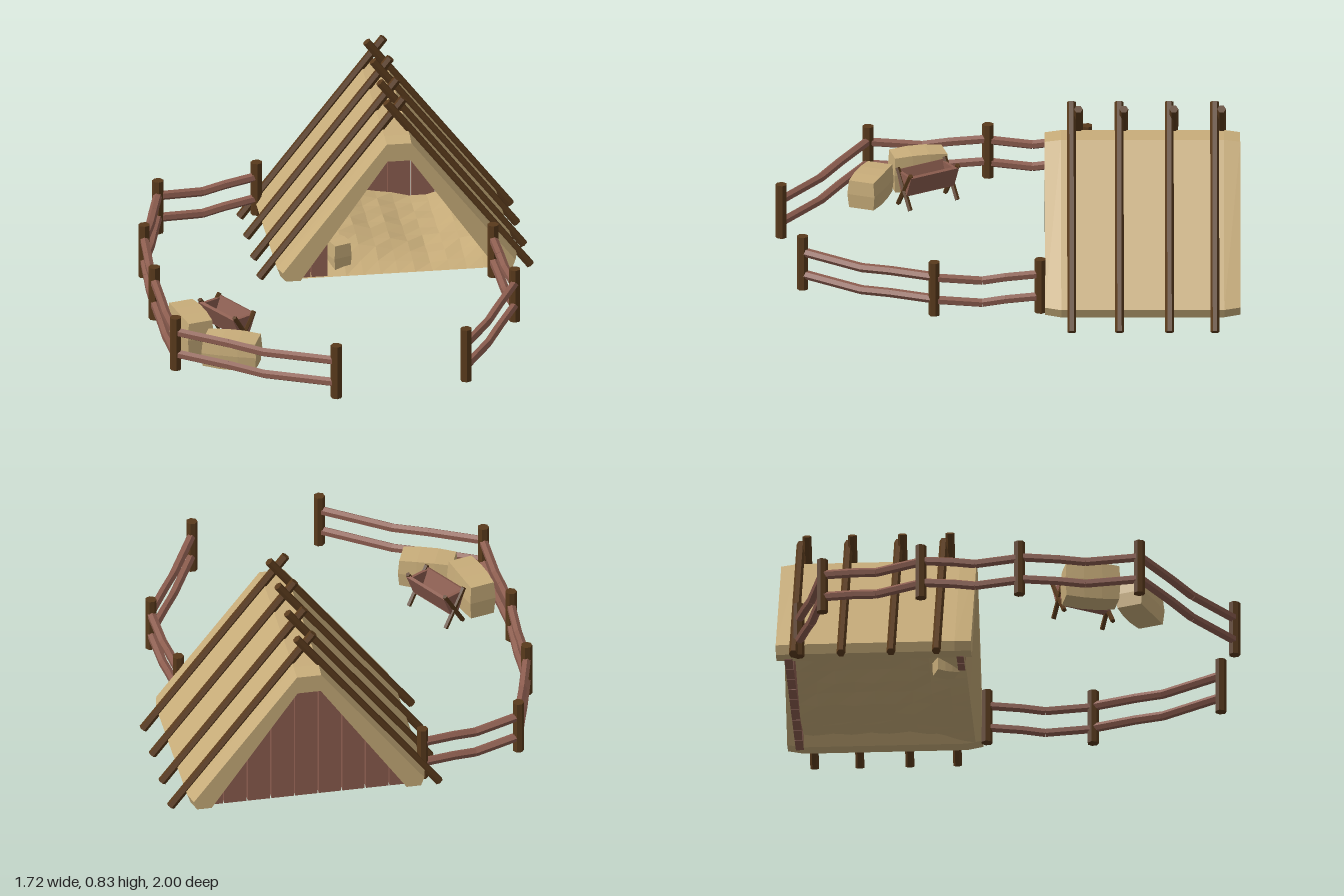
import * as THREE from 'three';

const mat = (name, color, side = THREE.FrontSide) => {
  const m = new THREE.MeshStandardMaterial({ color, side, flatShading: true });
  m.name = name;
  return m;
};

export function createModel() {
  const root = new THREE.Group();
  root.name = 'hutAndPen';
  const straw = mat('straw', 0xc8ad7a, THREE.DoubleSide);
  const plankWood = mat('reddish wood', 0x8c5d4f);
  const darkWood = mat('dark wood', 0x593a1c);
  const V = (x, y, z) => new THREE.Vector3(x, y, z);

  const add = (parent, name, geo, material) => {
    const m = new THREE.Mesh(geo, material);
    m.name = name;
    parent.add(m);
    return m;
  };
  const group = (name, parent = root) => {
    const g = new THREE.Group();
    g.name = name;
    parent.add(g);
    return g;
  };
  // Round beam from p to q
  const beam = (parent, name, p, q, r, material, sides = 6) => {
    const d = q.clone().sub(p);
    const m = add(parent, name, new THREE.CylinderGeometry(r, r, d.length(), sides), material);
    m.position.copy(p).add(q).multiplyScalar(0.5);
    m.quaternion.setFromUnitVectors(V(0, 1, 0), d.normalize());
    return m;
  };

  // Thatched A-frame roof, slightly narrowed at both ends
  const hut = group('hut');
  const cx = 0.255;
  const half = [[0.055, 0.688], [0.52, 0.09], [0.505, 0.05], [0.44, 0.05], [0.052, 0.605]];
  const outline = [
    ...half.map(([x, y]) => new THREE.Vector2(cx + x, y)),
    ...half.slice().reverse().map(([x, y]) => new THREE.Vector2(cx - x, y)),
  ];
  const roofGeo = new THREE.ExtrudeGeometry(new THREE.Shape(outline), { depth: 0.84, steps: 12, bevelEnabled: false });
  roofGeo.translate(0, 0, -1);
  const rp = roofGeo.attributes.position;
  for (let i = 0; i < rp.count; i++) {
    const z = rp.getZ(i);
    if (z < -0.99 || z > -0.17) {
      rp.setX(i, cx + (rp.getX(i) - cx) * 0.97);
      rp.setY(i, 0.3 + (rp.getY(i) - 0.3) * 0.975);
    }
  }
  roofGeo.computeVertexNormals();
  add(hut, 'thatchedRoof', roofGeo, straw);

  // Vertical planks cut to the slope of the roof
  const topAt = x => Math.max(0.051, Math.min(0.615, 0.62 - (Math.abs(x - cx) - 0.052) * 1.43));
  const plank = (name, x0, x1, z, depth) => {
    const s = new THREE.Shape();
    s.moveTo(x0, 0.05);
    s.lineTo(x1, 0.05);
    for (let i = 0; i <= 6; i++) {
      const x = x1 + (x0 - x1) * i / 6;
      s.lineTo(x, topAt(x));
    }
    const g = new THREE.ExtrudeGeometry(s, { depth, bevelEnabled: false });
    g.translate(0, 0, z);
    add(hut, name, g, plankWood);
  };
  const step = 0.1035;
  for (let i = 0; i < 9; i++) {
    const x = -0.205 + i * step;
    plank('backWallPlank', x + 0.003, x + step - 0.003, -0.965, 0.035);
  }
  plank('frontWallPlank', -0.19, -0.125, -0.225, 0.03);
  plank('frontWallPlank', -0.12, -0.05, -0.225, 0.03);

  // Lumpy straw floor
  const floorGeo = new THREE.PlaneGeometry(0.9, 0.74, 12, 9);
  floorGeo.rotateX(-Math.PI / 2);
  floorGeo.translate(cx, 0, -0.56);
  const fp = floorGeo.attributes.position;
  for (let i = 0; i < fp.count; i++) {
    const x = fp.getX(i), z = fp.getZ(i);
    const left = 0.09 * THREE.MathUtils.clamp((0.4 - x) / 0.38, 0, 1);
    const right = 0.035 * THREE.MathUtils.clamp((x - 0.42) / 0.25, 0, 1);
    const inner = THREE.MathUtils.clamp((-0.19 - z) / 0.2, 0, 1);
    const lump = 0.01 * (1 + Math.sin(x * 31 + z * 17) * Math.cos(z * 23 - x * 9));
    fp.setY(i, 0.052 + (left + right + lump) * inner);
  }
  floorGeo.computeVertexNormals();
  add(hut, 'strawFloor', floorGeo, straw);

  // Crossed roof poles
  const leftZ = [-0.92, -0.715, -0.5, -0.305];
  const rightZ = [-0.89, -0.695, -0.48, -0.275];
  leftZ.forEach(z => beam(hut, 'roofPole', V(-0.33, 0.015, z), V(0.295, 0.825, z), 0.019, darkWood));
  rightZ.forEach(z => beam(hut, 'roofPole', V(0.84, 0.015, z), V(0.215, 0.825, z), 0.019, darkWood));

  // Fence: posts with two sagging rails between neighbours
  const fence = (name, posts) => {
    const g = group(name);
    posts.forEach(([x, z], i) => {
      beam(g, 'fencePost', V(x, 0.035, z), V(x, 0.28, z), 0.025, darkWood, 7);
      if (!i) return;
      const [px, pz] = posts[i - 1];
      for (const y of [0.1, 0.203]) {
        const at = (t, dy) => V(px + (x - px) * t, y + dy, pz + (z - pz) * t);
        const pts = [at(0, 0.008), at(0.33, -0.003), at(0.55, -0.016), at(1, 0.004)];
        for (let k = 0; k < 3; k++) beam(g, 'fenceRail', pts[k], pts[k + 1], 0.02, plankWood);
      }
    });
  };
  fence('rightFence', [[-0.26, -0.9], [-0.705, -0.775], [-0.825, -0.345], [-0.84, 0.08], [-0.82, 0.595], [-0.175, 0.97]]);
  fence('leftFence', [[0.66, -0.14], [0.69, 0.315], [0.4, 0.88]]);

  // Straw bales with narrowed ends and tops
  const bale = (x, z, w, h, l, ry, y = 0.037) => {
    const g = new THREE.BoxGeometry(w, h, l, 1, 2, 3);
    const p = g.attributes.position;
    for (let i = 0; i < p.count; i++) {
      const end = Math.abs(p.getZ(i)) > l * 0.4 ? 0.92 : 1;
      const cap = Math.abs(p.getY(i)) > h * 0.4 ? 0.9 : 1;
      p.setXYZ(i, p.getX(i) * end * cap, p.getY(i) * end, p.getZ(i) * (cap < 1 ? 0.96 : 1));
    }
    g.computeVertexNormals();
    const m = add(root, 'strawBale', g, straw);
    m.position.set(x, y + h / 2, z);
    m.rotation.y = ry;
  };
  bale(-0.725, 0.38, 0.13, 0.17, 0.24, 0.24);
  bale(-0.575, 0.585, 0.135, 0.135, 0.24, 1.21);
  bale(0.005, -0.28, 0.09, 0.13, 0.1, 0.35, 0.055);

  // Feeding trough on crossed legs
  const trough = group('trough');
  trough.position.set(-0.562, 0, 0.34);
  trough.rotation.y = 0.54;
  for (const s of [-1, 1]) {
    const side = add(trough, 'troughSide', new THREE.BoxGeometry(0.014, 0.1, 0.24), plankWood);
    side.position.set(s * 0.036, 0.145, 0);
    side.rotation.z = -s * 0.4;
    const end = new THREE.Shape([[-0.02, 0.1], [0.02, 0.1], [0.052, 0.185], [-0.052, 0.185]].map(p => new THREE.Vector2(...p)));
    const endGeo = new THREE.ExtrudeGeometry(end, { depth: 0.014, bevelEnabled: false });
    add(trough, 'troughEnd', endGeo, plankWood).position.z = s * 0.11 - 0.007;
    for (const t of [-1, 1]) {
      beam(trough, 'troughLeg', V(-t * 0.05, 0.037, s * 0.118), V(t * 0.055, 0.2, s * 0.118), 0.011, darkWood, 5);
    }
  }
  add(trough, 'troughBottom', new THREE.BoxGeometry(0.045, 0.014, 0.24), plankWood).position.y = 0.1;

  return root;
}
